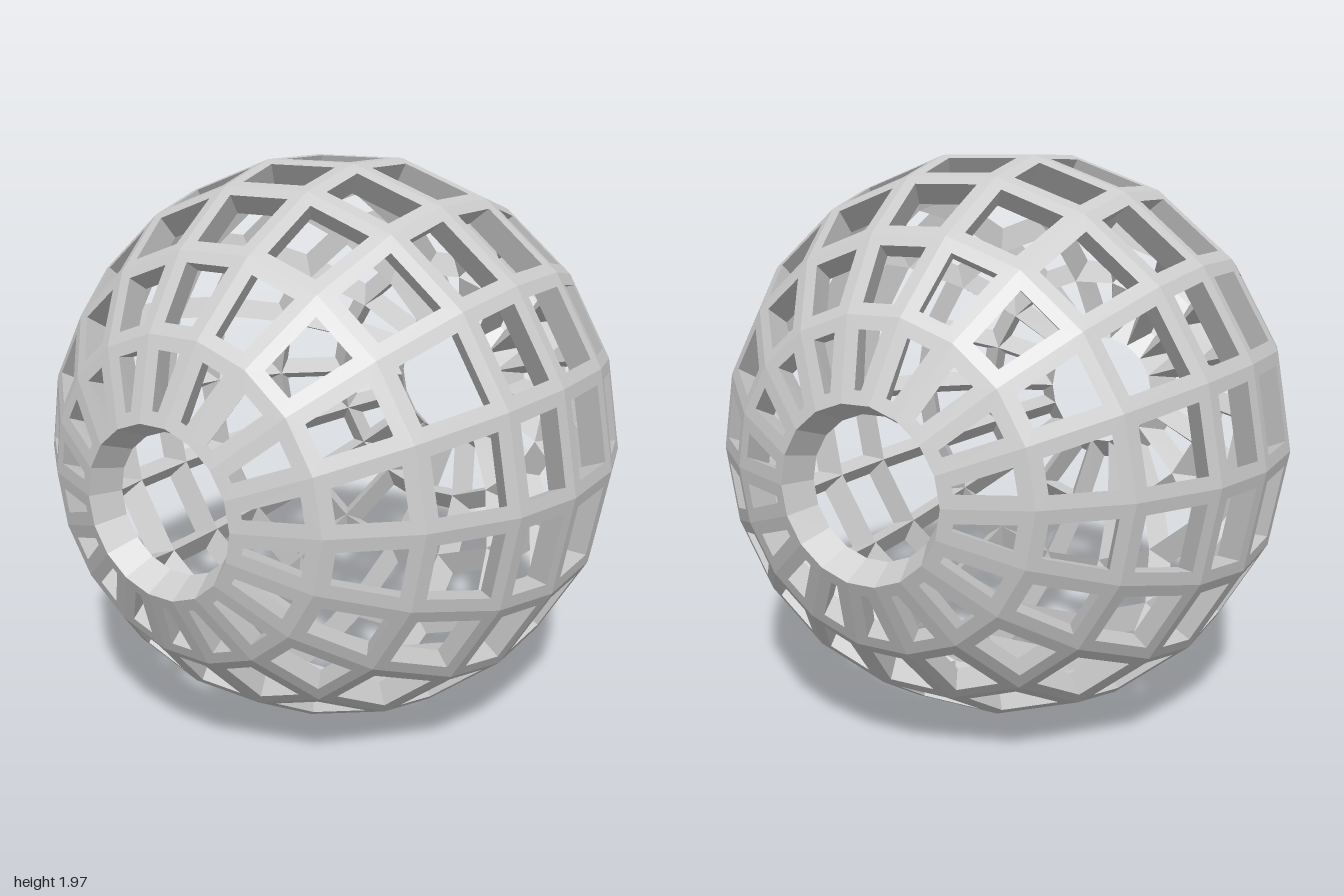
import * as THREE from 'three';

const SEGMENTS = 18;      // meridian bars around the z axis
const HALF_WIDTH = 0.044; // half the width of a bar
const DEPTH = 0.1;        // how far the inner ridge of a bar lies below the surface
const CENTRE_Y = 0.985;

// Half profile of the ball as [radius, z]; mirrored to give all rings back to front
const half = [[1.0, 0.153], [0.93, 0.402], [0.758, 0.67], [0.531, 0.87], [0.28, 0.977]];
const rings = [...half.map(([r, z]) => [r, -z]).reverse(), ...half];

function onRing(r, z, i) {
  const a = (i / SEGMENTS) * Math.PI * 2;
  return new THREE.Vector3(r * Math.cos(a), r * Math.sin(a), z);
}

const outer = (i, j) => onRing(...rings[j], i);

// Ridge point below a lattice node; the end rings lean further into the opening
function inner(i, j) {
  const [r, z] = rings[j];
  if (j === 0 || j === rings.length - 1) return onRing(0.23, Math.sign(z) * 0.88, i);
  const k = 1 - DEPTH / Math.hypot(r, z);
  return onRing(r * k, z * k, i);
}

// Corner of a panel's window: moved in so both neighbouring bars keep their width
function insetCorner(p, next, prev) {
  const u = next.clone().sub(p).normalize();
  const v = prev.clone().sub(p).normalize();
  const sine = u.clone().cross(v).length();
  return u.add(v).multiplyScalar(HALF_WIDTH / sine).add(p);
}

function flatMesh(name, quads) {
  const points = quads.flatMap(([a, b, c, d]) => [a, b, c, a, c, d]);
  const geometry = new THREE.BufferGeometry().setFromPoints(points);
  geometry.computeVertexNormals();
  const mesh = new THREE.Mesh(geometry, new THREE.MeshStandardMaterial({ color: 0xcccccc, flatShading: true }));
  mesh.name = name;
  return mesh;
}

export function createModel() {
  const bars = [], rims = [];
  const last = rings.length - 1;

  for (let i = 0; i < SEGMENTS; i++) {
    // Each panel adds half of the four bars around its window
    for (let j = 0; j < last; j++) {
      const nodes = [[i, j], [i + 1, j], [i + 1, j + 1], [i, j + 1]];
      const P = nodes.map((n) => outer(...n));
      const I = nodes.map((n) => inner(...n));
      const Q = P.map((p, k) => insetCorner(p, P[(k + 1) % 4], P[(k + 3) % 4]));
      for (let k = 0; k < 4; k++) {
        const n = (k + 1) % 4;
        bars.push([P[k], P[n], Q[n], Q[k]]); // outer face
        bars.push([Q[k], Q[n], I[n], I[k]]); // sloping side down to the ridge
      }
    }
    // Walls of the round openings at both ends
    rims.push([outer(i + 1, 0), outer(i, 0), inner(i, 0), inner(i + 1, 0)]);
    rims.push([outer(i, last), outer(i + 1, last), inner(i + 1, last), inner(i, last)]);
  }

  const group = new THREE.Group();
  group.name = 'latticeBall';
  group.add(flatMesh('latticeBars', bars), flatMesh('openingRims', rims));
  group.children.forEach((mesh) => { mesh.position.y = CENTRE_Y; });
  return group;
}
